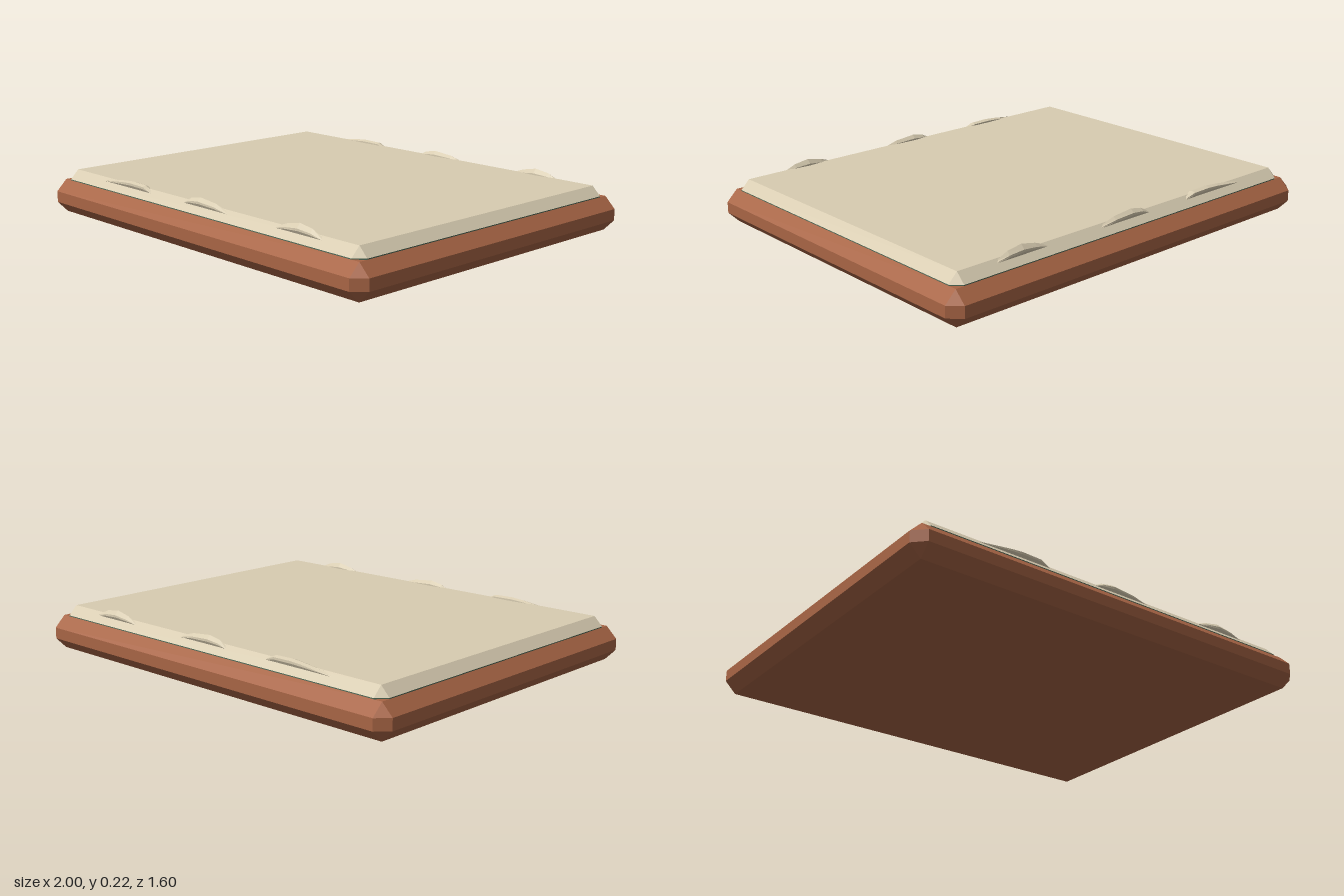
import * as THREE from 'three';

const material = (name, color, opts = {}) => {
  const m = new THREE.MeshStandardMaterial({ color, ...opts });
  m.name = name;
  return m;
};

// Flat-faced solid through a stack of closed rings, capped at both ends
function loft(rings) {
  const pos = [];
  const a = new THREE.Vector3(), b = new THREE.Vector3();
  const tri = (p, q, r) => {
    a.subVectors(q, p);
    b.subVectors(r, p);
    if (a.cross(b).length() > 1e-9) for (const v of [p, q, r]) pos.push(v.x, v.y, v.z);
  };
  const n = rings[0].length;
  for (let k = 0; k < rings.length - 1; k++) {
    for (let i = 0; i < n; i++) {
      const j = (i + 1) % n, lo = rings[k], hi = rings[k + 1];
      tri(lo[i], lo[j], hi[j]);
      tri(lo[i], hi[j], hi[i]);
    }
  }
  const first = rings[0], last = rings[rings.length - 1];
  for (let i = 1; i < n - 1; i++) {
    tri(first[0], first[i + 1], first[i]);
    tri(last[0], last[i], last[i + 1]);
  }
  const g = new THREE.BufferGeometry();
  g.setAttribute('position', new THREE.Float32BufferAttribute(pos, 3));
  g.computeVertexNormals();
  return g;
}

// Horizontal rectangle with cut corners
const cutRect = (y, hx, hz, cut) => [
  [-hx + cut, hz], [hx - cut, hz], [hx, hz - cut], [hx, -hz + cut],
  [hx - cut, -hz], [-hx + cut, -hz], [-hx, -hz + cut], [-hx, hz - cut],
].map(([x, z]) => new THREE.Vector3(x, y, z));

const slab = layers => loft(layers.map(l => cutRect(...l)));

// Raised chip on the rim: [x, size] stations, swelling from a thin end and back
function chip(stations, peak) {
  return loft(stations.map(([x, s]) => {
    const mix = (from, to) => from + (to - from) * s;
    return [
      [mix(0.186, peak), 0.714],
      [mix(0.182, 0.203), mix(0.722, 0.731)],
      [mix(0.180, 0.193), mix(0.724, 0.731)],
      [0.177, 0.722],
      [0.177, mix(0.714, 0.697)],
      [mix(0.182, 0.203), mix(0.714, 0.697)],
    ].map(([y, z]) => new THREE.Vector3(x, y, z));
  }));
}

export function createModel() {
  const group = new THREE.Group();
  const clay = material('clay brown', 0xa86545, { flatShading: true });
  const stone = material('pale stone', 0xd8ccb1, { flatShading: true });
  const seamGreen = material('seam green', 0x4f6a58, { flatShading: true });

  const add = (name, geometry, mat) => {
    const mesh = new THREE.Mesh(geometry, mat);
    mesh.name = name;
    group.add(mesh);
    return mesh;
  };

  // Bevelled base
  add('base', slab([
    [0, 0.95, 0.75, 0],
    [0.05, 1, 0.8, 0.05],
    [0.1, 1, 0.8, 0.05],
    [0.15, 0.95, 0.75, 0],
  ]), clay);

  // Thin seam under the top slab
  add('seam', slab([
    [0.149, 0.95, 0.75, 0.04],
    [0.154, 0.95, 0.75, 0.04],
  ]), seamGreen);

  // Top slab with sloping edges
  add('topSlab', slab([
    [0.154, 0.95, 0.75, 0.04],
    [0.195, 0.91, 0.71, 0],
  ]), stone);

  // Chips along the front and back rims
  const chips = [
    { peak: 0.209, stations: [[-0.68, 0], [-0.53, 0.8], [-0.47, 1], [-0.38, 0.9], [-0.33, 0]] },
    { peak: 0.218, stations: [[-0.1, 0], [-0.06, 0.65], [0, 1], [0.1, 0.7], [0.18, 0]] },
    { peak: 0.222, stations: [[0.47, 0], [0.53, 0.6], [0.6, 1], [0.67, 0.7], [0.73, 0]] },
  ];
  for (const { peak, stations } of chips) {
    add('frontChip', chip(stations, peak), stone);
    const flipped = stations.map(([x, s]) => [-x, s]).reverse();
    add('backChip', chip(flipped, peak), stone).rotation.y = Math.PI;
  }

  return group;
}
